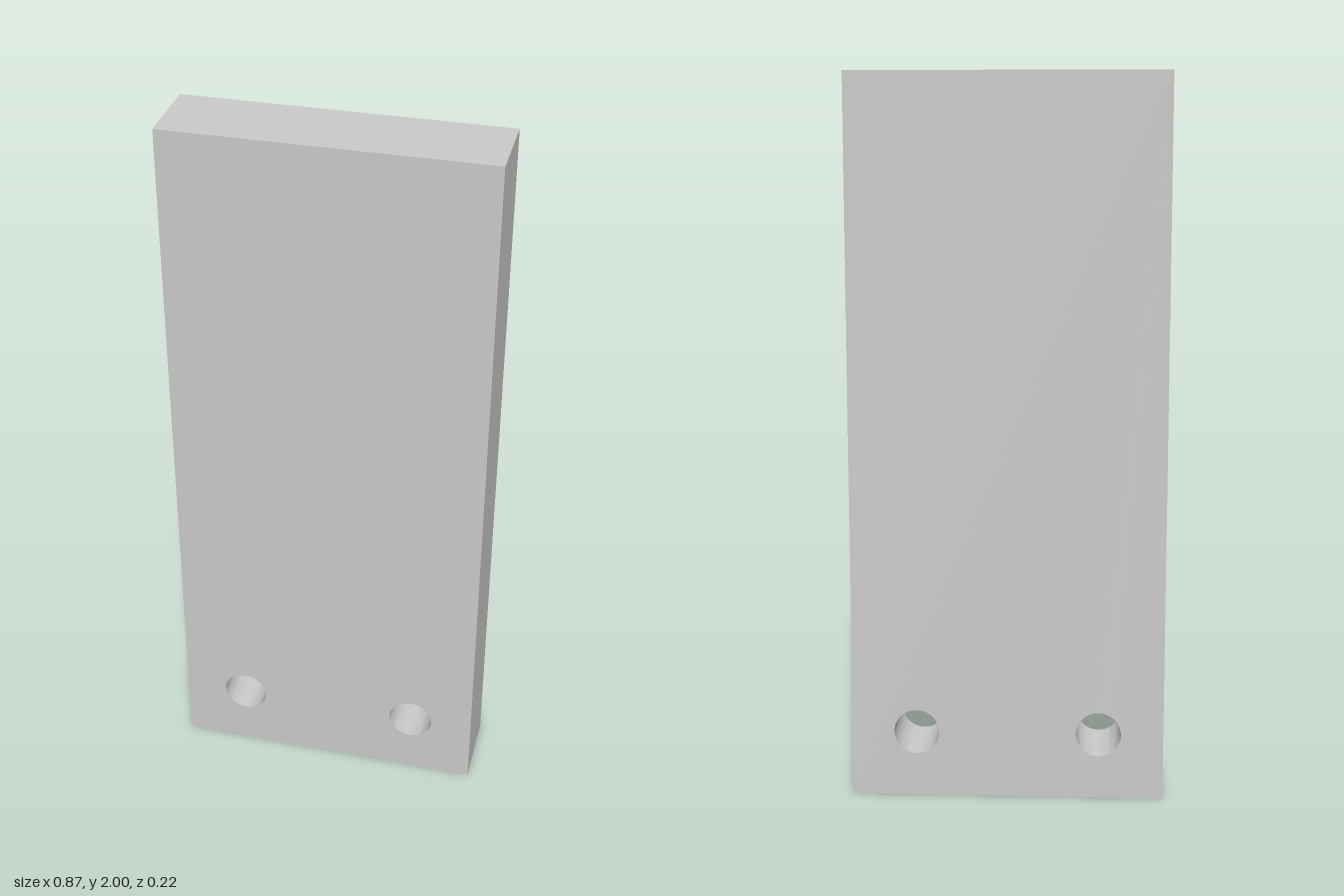
import * as THREE from 'three';
import { toCreasedNormals } from 'three/addons/utils/BufferGeometryUtils.js';

const WIDTH = 0.87, HEIGHT = 2, DEPTH = 0.217;
const HOLE_X = 0.254, HOLE_Y = 0.184, HOLE_RADIUS = 0.063;

export function createModel() {
  const group = new THREE.Group();
  group.name = 'mountingPlate';

  // Plate outline, standing on y = 0
  const w = WIDTH / 2;
  const outline = new THREE.Shape([
    new THREE.Vector2(-w, 0),
    new THREE.Vector2(w, 0),
    new THREE.Vector2(w, HEIGHT),
    new THREE.Vector2(-w, HEIGHT),
  ]);

  // Pair of through holes near the bottom edge
  for (const side of [-1, 1]) {
    const hole = new THREE.Path();
    hole.absarc(side * HOLE_X, HOLE_Y, HOLE_RADIUS, 0, Math.PI * 2, true);
    outline.holes.push(hole);
  }

  const extruded = new THREE.ExtrudeGeometry(outline, {
    depth: DEPTH,
    bevelEnabled: false,
    curveSegments: 24,
  });
  extruded.translate(0, 0, -DEPTH / 2);

  // Smooth hole walls, sharp plate edges
  const plate = new THREE.Mesh(
    toCreasedNormals(extruded, Math.PI / 6),
    new THREE.MeshStandardMaterial({ color: 0xcccccc })
  );
  plate.name = 'drilledPlate';
  group.add(plate);
  return group;
}
